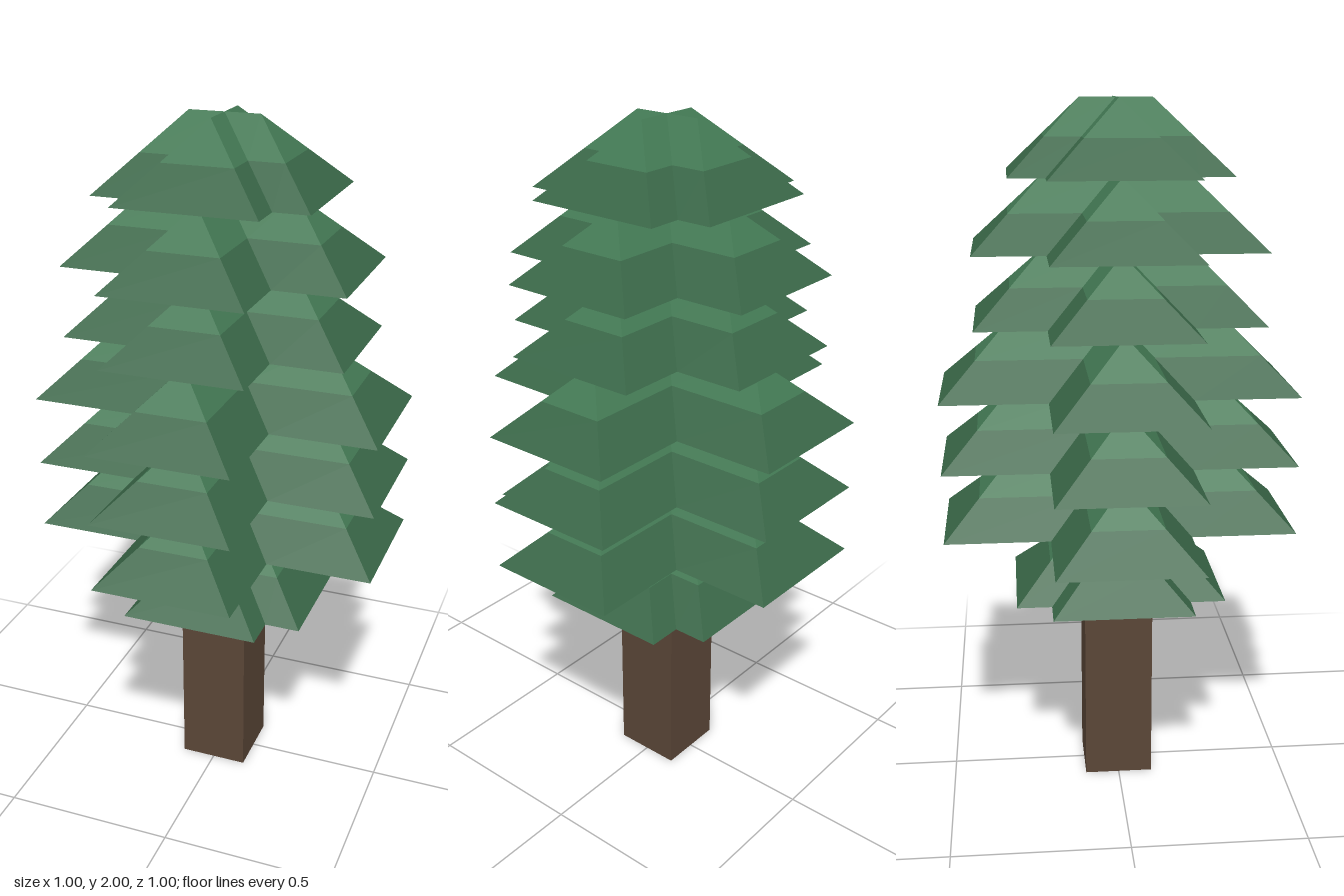
import * as THREE from 'three';

const TIER = 0.2; // tier height, and half width of each branch arm
const LENGTHS = [0.3, 0.5, 0.5, 0.5, 0.4, 0.4, 0.3]; // arm reach per tier, from the bottom

// Plus-shaped outline of a tier at height h; all slopes are 45 degrees
function crossRing(reach, h) {
  const w = TIER - h, l = reach - h, ring = [];
  for (let k = 0; k < 4; k++) {
    for (let [u, v] of [[l, -w], [l, w], [w, w]]) {
      for (let i = 0; i < k; i++) [u, v] = [-v, u];
      ring.push(new THREE.Vector3(u, h, -v));
    }
  }
  return ring;
}

// Sloped band between two heights of a tier, optionally closed underneath
function bandGeometry(reach, h0, h1, closed) {
  const low = crossRing(reach, h0), high = crossRing(reach, h1);
  const centre = new THREE.Vector3(0, h0, 0);
  const points = [];
  const tri = (a, b, c) => {
    if (new THREE.Triangle(a, b, c).getArea() > 1e-6) points.push(a, b, c);
  };
  low.forEach((a, i) => {
    const j = (i + 1) % low.length;
    tri(a, low[j], high[j]);
    tri(a, high[j], high[i]);
    if (closed) tri(centre, low[j], a);
  });
  const geometry = new THREE.BufferGeometry().setFromPoints(points);
  geometry.computeVertexNormals();
  return geometry;
}

export function createModel() {
  const tree = new THREE.Group();
  tree.name = 'pineTree';

  const bark = new THREE.MeshStandardMaterial({ color: 0x5a4637 });
  const darkNeedles = new THREE.MeshStandardMaterial({ color: 0x396647, flatShading: true });
  const lightNeedles = new THREE.MeshStandardMaterial({ color: 0x427853, flatShading: true });

  // Square trunk
  const trunk = new THREE.Mesh(new THREE.BoxGeometry(0.2, 0.6, 0.2), bark);
  trunk.name = 'trunk';
  trunk.position.y = 0.3;
  tree.add(trunk);

  // Stacked tiers: crossed hip roofs, darker below and lighter above
  LENGTHS.forEach((reach, i) => {
    const tier = new THREE.Group();
    tier.name = `branchTier${i + 1}`;
    tier.position.y = 0.6 + i * TIER;
    const lower = new THREE.Mesh(bandGeometry(reach, 0, TIER / 2, true), darkNeedles);
    lower.name = 'lowerNeedles';
    const upper = new THREE.Mesh(bandGeometry(reach, TIER / 2, TIER, false), lightNeedles);
    upper.name = 'upperNeedles';
    tier.add(lower, upper);
    tree.add(tier);
  });

  return tree;
}
